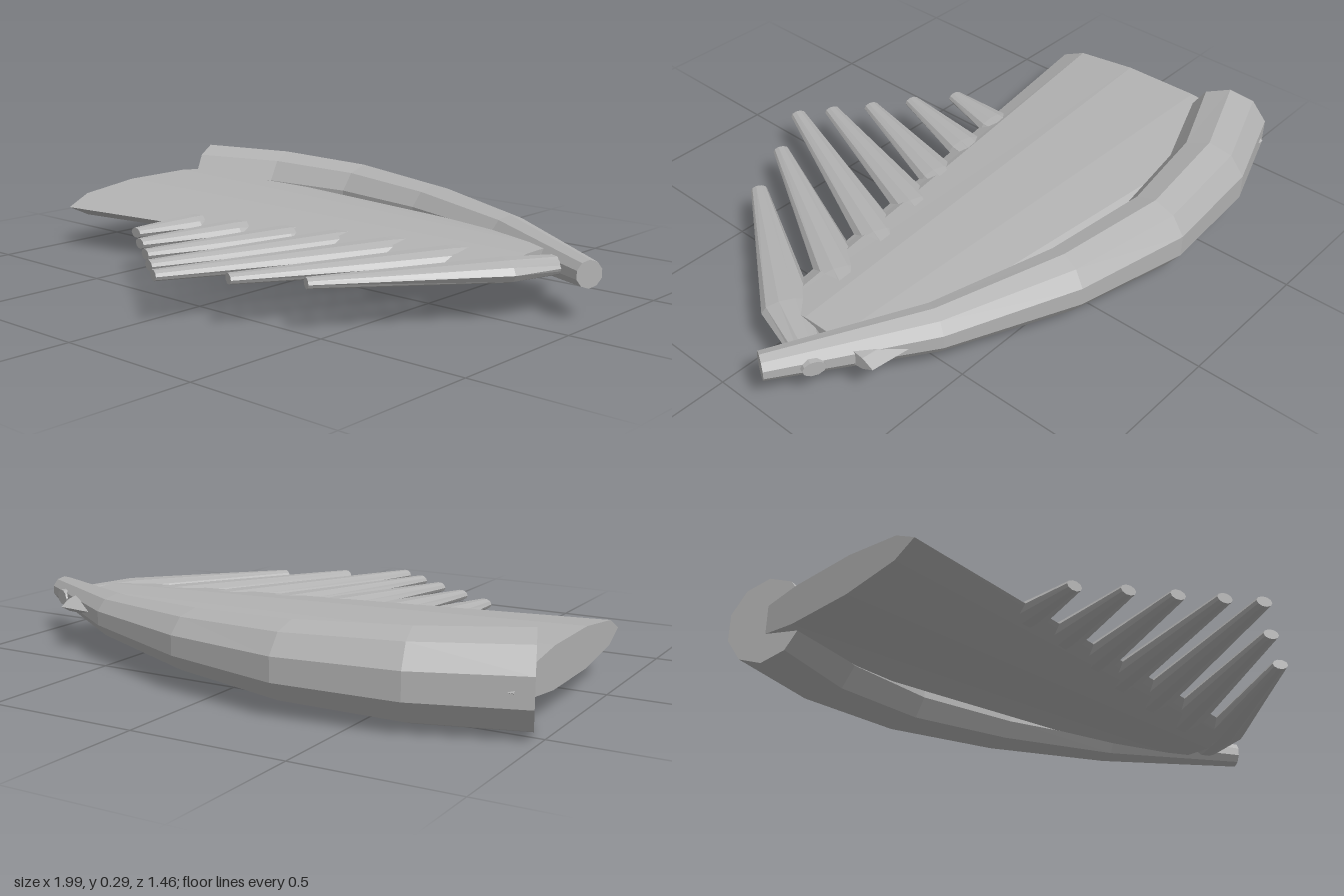
import * as THREE from 'three';

const Y = 0.15; // height of the wing's middle plane
const SIDES = 10;

// Lofts a capped tube through stations [x, z, half width, half height].
function loft(stations, phase = 0) {
  const rings = stations.map(([x, z, w, h], i) => {
    const a = stations[Math.max(i - 1, 0)];
    const b = stations[Math.min(i + 1, stations.length - 1)];
    const len = Math.hypot(b[0] - a[0], b[1] - a[1]);
    const sx = (b[1] - a[1]) / len, sz = -(b[0] - a[0]) / len;
    return Array.from({ length: SIDES }, (_, k) => {
      const ang = (k / SIDES) * Math.PI * 2 + phase;
      const c = Math.cos(ang) * w;
      return [x + sx * c, Y + Math.sin(ang) * h, z + sz * c];
    });
  });
  const pos = [];
  const tri = (...pts) => pts.forEach(p => pos.push(...p));
  const first = rings[0], last = rings[rings.length - 1];
  for (let k = 0; k < SIDES; k++) {
    const n = (k + 1) % SIDES;
    for (let i = 0; i < rings.length - 1; i++) {
      tri(rings[i][k], rings[i][n], rings[i + 1][n]);
      tri(rings[i][k], rings[i + 1][n], rings[i + 1][k]);
    }
    if (k > 0 && k < SIDES - 1) {
      tri(first[0], first[n], first[k]);
      tri(last[0], last[k], last[n]);
    }
  }
  const geo = new THREE.BufferGeometry();
  geo.setAttribute('position', new THREE.Float32BufferAttribute(pos, 3));
  geo.computeVertexNormals();
  return geo;
}

export function createModel() {
  const group = new THREE.Group();
  const grey = new THREE.MeshStandardMaterial({ color: 0xb2b2b2, flatShading: true });
  grey.name = 'grey';
  const add = (name, geo) => {
    const mesh = new THREE.Mesh(geo, grey);
    mesh.name = name;
    group.add(mesh);
  };

  // Curved arm along the leading edge, thick at the shoulder
  add('wingArm', loft([
    [-0.95, -0.455, 0.142, 0.146],
    [-0.64, -0.575, 0.134, 0.138],
    [-0.28, -0.615, 0.121, 0.122],
    [0.10, -0.552, 0.101, 0.101],
    [0.52, -0.408, 0.074, 0.074],
    [0.97, -0.152, 0.044, 0.044],
  ], Math.PI / SIDES));

  // Broad flattened panel behind the arm
  add('wingPanel', loft([
    [-0.945, -0.172, 0.437, 0.068],
    [0.77, -0.19, 0.21, 0.036],
  ]));

  // Feathers: root, widest point, tip, widest half width and half height
  const feathers = [
    [[-0.37, -0.10], [-0.40, 0.16], [-0.435, 0.38], 0.062, 0.030],
    [[-0.15, -0.12], [-0.225, 0.14], [-0.305, 0.475], 0.066, 0.032],
    [[0.06, -0.18], [-0.035, 0.09], [-0.18, 0.56], 0.068, 0.034],
    [[0.26, -0.25], [0.14, 0.03], [-0.065, 0.645], 0.070, 0.036],
    [[0.46, -0.30], [0.335, 0.0], [0.035, 0.715], 0.072, 0.037],
    [[0.68, -0.30], [0.545, -0.04], [0.225, 0.595], 0.076, 0.037],
    [[0.875, -0.275], [0.755, -0.03], [0.425, 0.48], 0.080, 0.036],
  ];
  feathers.forEach(([root, mid, tip, w, h], i) => {
    add(`feather${i + 1}`, loft([
      [...root, 0.036, 0.026],
      [...mid, w, h],
      [...tip, 0.027, 0.017],
    ]));
  });

  return group;
}
